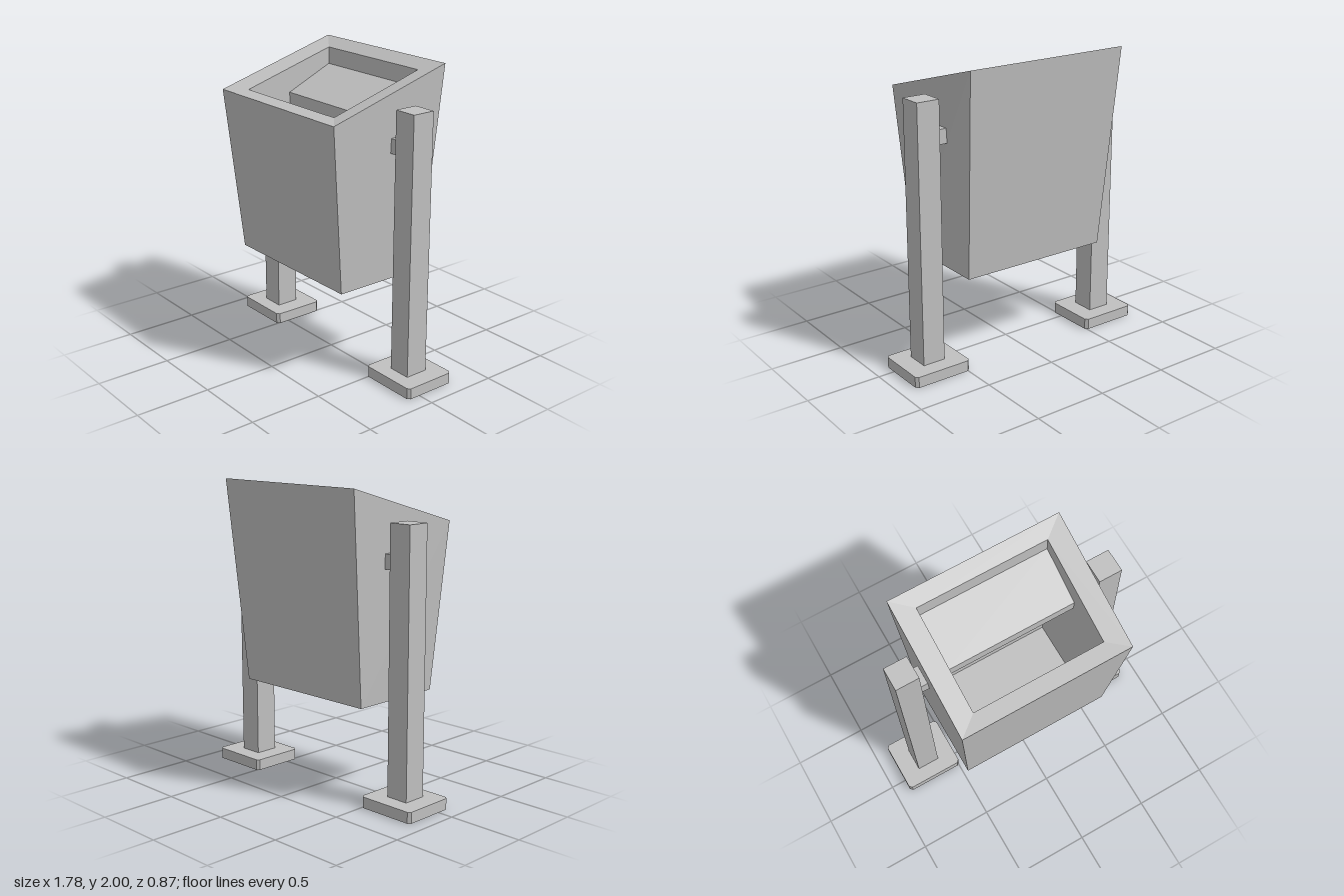
import * as THREE from 'three';

const grey = new THREE.MeshStandardMaterial({ color: 0xc0c0c0 });
grey.name = 'grey metal';

function add(parent, name, geometry, x = 0, y = 0, z = 0) {
  const mesh = new THREE.Mesh(geometry, grey);
  mesh.name = name;
  mesh.position.set(x, y, z);
  parent.add(mesh);
  return mesh;
}

// Four corners, counter-clockwise from above, with separate front and back heights
const ring = (x0, x1, zFront, yFront, zBack, yBack) => [
  [x0, yFront, zFront], [x1, yFront, zFront], [x1, yBack, zBack], [x0, yBack, zBack],
];

// Flat-faced skin through successive rings, closed at both ends
function skin(rings) {
  const pos = [];
  const quad = (a, b, c, d) => pos.push(...a, ...b, ...c, ...a, ...c, ...d);
  for (let r = 0; r < rings.length - 1; r++) {
    for (let i = 0; i < 4; i++) {
      const j = (i + 1) % 4;
      quad(rings[r][i], rings[r][j], rings[r + 1][j], rings[r + 1][i]);
    }
  }
  quad(...[...rings[0]].reverse());
  quad(...rings[rings.length - 1]);
  const g = new THREE.BufferGeometry();
  g.setAttribute('position', new THREE.Float32BufferAttribute(pos, 3));
  g.computeVertexNormals();
  return g;
}

// Rectangle with cut corners
function cutRect(Type, w, d, c) {
  const x = w / 2, y = d / 2;
  return new Type([
    [-x + c, -y], [x - c, -y], [x, -y + c], [x, y - c],
    [x - c, y], [-x + c, y], [-x, y - c], [-x, -y + c],
  ].map(([a, b]) => new THREE.Vector2(a, b)));
}

function slab(shape, height) {
  return new THREE.ExtrudeGeometry(shape, { depth: height, bevelEnabled: false }).rotateX(-Math.PI / 2);
}

export function createModel() {
  const model = new THREE.Group();
  model.name = 'litterBin';

  // Tapered bin: outside, sunken rim, then the hollow inside
  add(model, 'bin', skin([
    ring(-0.53, 0.515, 0.33, 0.655, -0.315, 0.655),
    ring(-0.58, 0.57, 0.435, 1.75, -0.435, 2.0),
    ring(-0.445, 0.435, 0.325, 1.757, -0.335, 1.95),
    ring(-0.425, 0.415, 0.32, 0.7, -0.3, 0.7),
  ]));

  // Sloping panel under the back half of the opening
  const profile = new THREE.Shape([
    [-0.335, 1.76], [0, 1.61], [0, 1.69], [-0.335, 1.84],
  ].map(([z, y]) => new THREE.Vector2(z, y)));
  const panel = new THREE.ExtrudeGeometry(profile, { depth: 0.876, bevelEnabled: false });
  add(model, 'slopingPanel', panel.rotateY(-Math.PI / 2), 0.433);

  // Post, foot and bracket on each side
  for (const side of [-1, 1]) {
    const support = new THREE.Group();
    support.name = side > 0 ? 'leftSupport' : 'rightSupport';
    support.position.set(side * 0.69 - 0.004, 0, -0.085);
    model.add(support);

    add(support, 'post', new THREE.BoxGeometry(0.156, 1.722, 0.156), 0, 0.924, 0);
    add(support, 'bracket', new THREE.BoxGeometry(0.12, 0.095, 0.13), -side * 0.1, 1.5475, 0);

    // Foot is a shallow cap, open underneath
    const wall = cutRect(THREE.Shape, 0.404, 0.364, 0.018);
    wall.holes.push(cutRect(THREE.Path, 0.392, 0.352, 0.015));
    add(support, 'footWall', slab(wall, 0.068), 0, 0, -0.006);
    add(support, 'footTop', slab(cutRect(THREE.Shape, 0.404, 0.364, 0.018), 0.006), 0, 0.067, -0.006);
  }
  return model;
}
